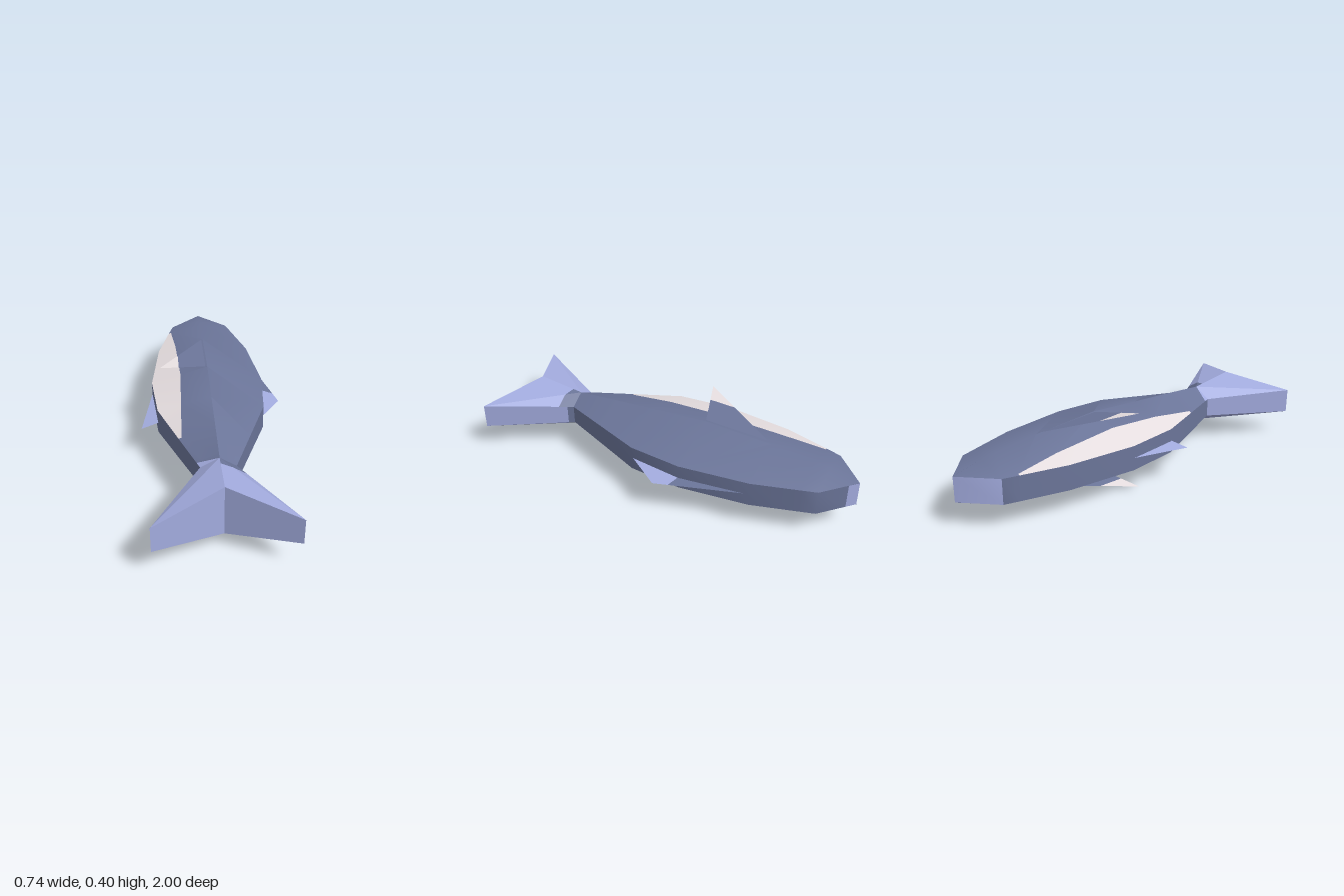
import * as THREE from 'three';
import { toCreasedNormals } from 'three/addons/utils/BufferGeometryUtils.js';

const BLUE = 0, SILVER = 1, VIOLET = 2;
const MID = 0.2; // height of the mirror plane between the two flanks
const SPINE = -0.01;

const v = (x, y, z) => new THREE.Vector3(x, y, z);
const mix = (a, b, t) => a.clone().lerp(b, t);
const flip = p => v(p.x, 2 * MID - p.y, p.z);

// Collects coloured polygons and turns them into one mesh with a group per colour
class Part {
  constructor(name) { this.name = name; this.faces = [[], [], []]; }
  face(colour, ...p) {
    for (let i = 1; i < p.length - 1; i++) {
      const tri = new THREE.Triangle(p[0], p[i], p[i + 1]);
      if (tri.getArea() > 1e-7) this.faces[colour].push(p[0], p[i], p[i + 1]);
    }
  }
  // the same face on the upper and the lower flank
  flanks(colour, ...p) {
    this.face(colour, ...p);
    this.face(colour, ...p.map(flip).reverse());
  }
  // rim between both flanks, walking with the outside on the right hand
  wall(colour, a, b) { this.face(colour, a, flip(a), flip(b), b); }
  build(materials, crease) {
    let geometry = new THREE.BufferGeometry().setFromPoints(this.faces.flat());
    geometry = toCreasedNormals(geometry, crease);
    let start = 0;
    this.faces.forEach((f, i) => {
      if (f.length) geometry.addGroup(start, f.length, i);
      start += f.length;
    });
    const mesh = new THREE.Mesh(geometry, materials);
    mesh.name = this.name;
    return mesh;
  }
}

export function createModel() {
  // double-sided because the fins are thin open sheets
  const materials = [['slateBlue', 0x6b7599], ['silver', 0xe8e0e2], ['paleViolet', 0xa3acdf]]
    .map(([name, color]) => {
      const m = new THREE.MeshStandardMaterial({ color, side: THREE.DoubleSide });
      m.name = name;
      return m;
    });
  const fish = new THREE.Group();
  fish.name = 'fish';

  // Cross-sections from nose to tail: z, belly edge x, silver limit x, back edge x, rim y, ridge y
  const stations = [
    [-1, SPINE, SPINE, SPINE, 0.265, 0.266],
    [-0.85, -0.175, -0.165, 0.15, 0.265, 0.302],
    [-0.77, -0.199, -0.187, 0.174, 0.265, 0.312],
    [-0.54, -0.265, -0.168, 0.242, 0.265, 0.335],
    [-0.18, -0.31, -0.155, 0.285, 0.265, 0.355],
    [0.1, -0.285, -0.165, 0.26, 0.265, 0.335],
    [0.35, -0.189, -0.174, 0.161, 0.257, 0.318],
    [0.545, -0.1135, -0.09, 0.084, 0.251, 0.303],
    [0.58, -0.1, -0.08, 0.07, 0.25, 0.3],
  ].map(([z, l, s, r, rim, top]) => {
    const belly = v(l, rim, z), ridge = v(SPINE, top, z);
    const t = l === SPINE ? 0 : (s - l) / (SPINE - l);
    return { belly, limit: mix(belly, ridge, t), ridge, back: v(r, rim, z) };
  });

  // Body
  const body = new Part('body');
  const last = stations.length - 2;
  for (let i = 0; i <= last; i++) {
    const a = stations[i], b = stations[i + 1];
    body.flanks(BLUE, a.ridge, b.ridge, b.back, a.back);
    // the belly side of the snout is pale
    body.wall(i === 0 ? VIOLET : BLUE, a.belly, b.belly);
    if (i < last) {
      const silver = i >= 2 && i <= 5;
      body.flanks(silver ? SILVER : BLUE, a.belly, b.belly, b.limit, a.limit);
      body.flanks(BLUE, a.limit, b.limit, b.ridge, a.ridge);
    } else {
      body.flanks(VIOLET, a.belly, b.belly, b.ridge);
      body.flanks(BLUE, a.belly, b.ridge, a.ridge);
    }
    if (i === 0) {
      // pale mouth patch on the other side of the snout
      const m = mix(a.back, b.back, 0.27);
      body.wall(BLUE, b.back, m);
      body.wall(VIOLET, m, a.back);
    } else body.wall(BLUE, b.back, a.back);
  }
  fish.add(body.build(materials, 0.55));

  // Forked tail
  const tail = new Part('tail');
  const { belly, ridge, back } = stations[last + 1];
  const notch = v(SPINE, 0.33, 0.835);
  const tipA = v(-0.335, 0.265, 1), tipB = v(0.315, 0.265, 1);
  tail.flanks(VIOLET, belly, tipA, ridge);
  tail.flanks(VIOLET, tipA, notch, ridge);
  const m1 = mix(ridge, notch, 0.2), m2 = mix(ridge, tipB, 0.165), m3 = mix(back, tipB, 0.165);
  tail.flanks(BLUE, ridge, m1, m2);
  tail.flanks(BLUE, ridge, m2, m3, back);
  tail.flanks(VIOLET, m1, notch, tipB, m2);
  tail.flanks(VIOLET, m2, tipB, m3);
  const m4 = mix(back, tipB, 0.07);
  tail.wall(VIOLET, belly, tipA);
  tail.wall(VIOLET, tipA, notch);
  tail.wall(VIOLET, notch, tipB);
  tail.wall(VIOLET, tipB, m4);
  tail.wall(BLUE, m4, back);
  fish.add(tail.build(materials, 0.1));

  // Pectoral fins, one on each flank, with silver tips
  for (const [name, side] of [['upperPectoralFin', p => p], ['lowerPectoralFin', flip]]) {
    const fin = new Part(name);
    const a = side(v(-0.02, 0.343, -0.52)), b = side(v(-0.02, 0.356, -0.18));
    const tip = side(v(-0.265, 0.4, -0.1));
    const p = mix(a, tip, 0.59), q = mix(b, tip, 0.59);
    // wound so that the front faces look away from the body
    const outward = (...c) => (name === 'upperPectoralFin' ? c.reverse() : c);
    fin.face(BLUE, ...outward(a, b, q, p));
    fin.face(SILVER, ...outward(p, q, tip));
    fish.add(fin.build(materials, 0.1));
  }

  // Dorsal fin, dark in front and pale behind
  const dorsal = new Part('dorsalFin');
  const a = v(0.235, 0.199, -0.55), b = v(0.255, 0.204, 0.1), tip = v(0.367, 0.181, -0.08);
  const p = mix(a, tip, 0.84), q = mix(a, b, 0.55);
  dorsal.face(BLUE, a, q, p);
  dorsal.face(VIOLET, q, b, tip, p);
  fish.add(dorsal.build(materials, 0.1));

  // Anal fin
  const anal = new Part('analFin');
  anal.face(VIOLET, v(-0.308, 0.2, -0.18), v(-0.37, 0.181, 0.135), v(-0.27, 0.2, 0.105));
  fish.add(anal.build(materials, 0.1));

  return fish;
}
